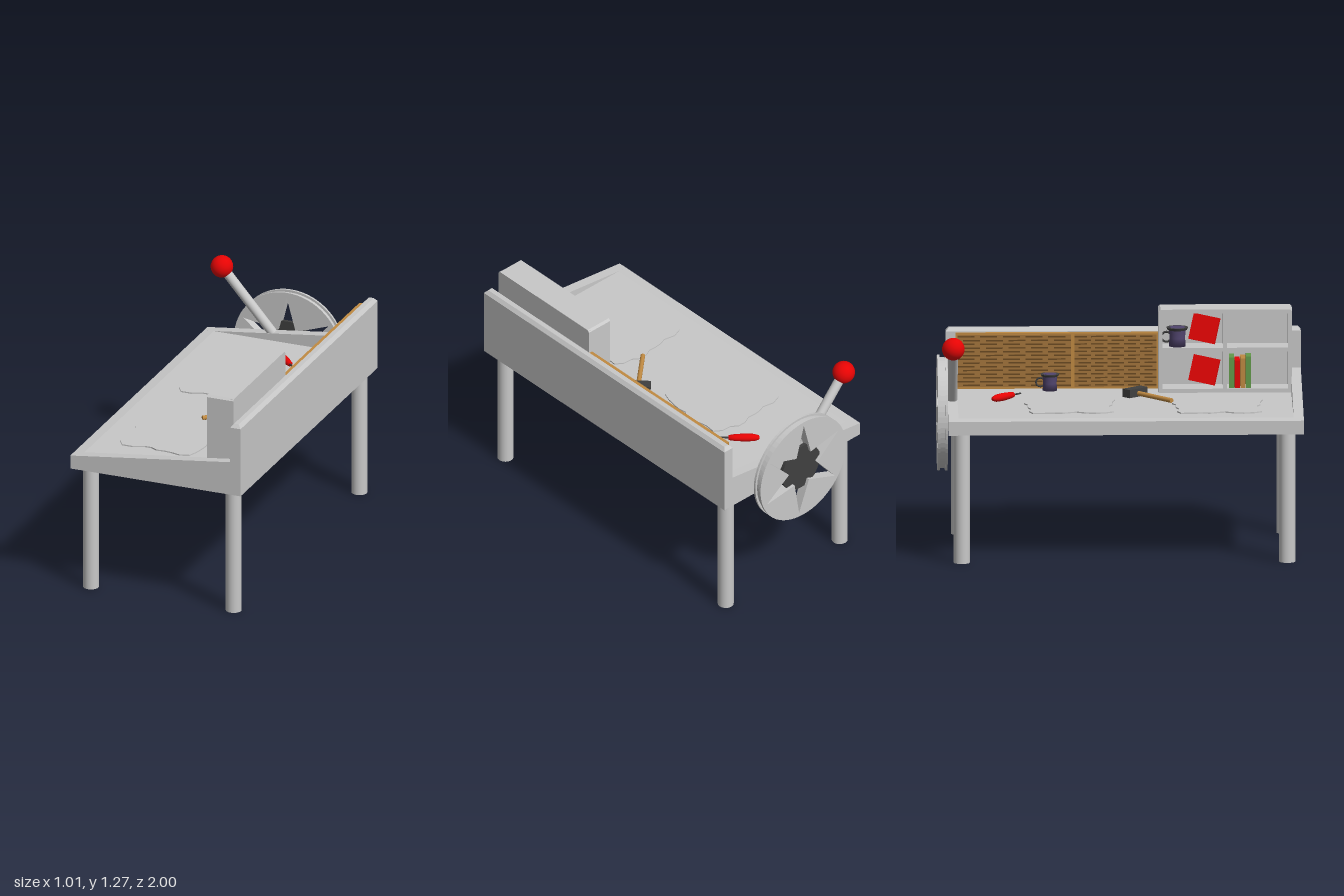
import * as THREE from 'three';

export function createModel() {
  const model = new THREE.Group();
  model.name = 'workbench';
  const mat = (name, color) => {
    const m = new THREE.MeshStandardMaterial({ color });
    m.name = name;
    return m;
  };
  const grey = mat('grey', 0xc8c8c8), red = mat('red', 0xe60404), dark = mat('charcoal', 0x404040);
  const lightWood = mat('lightWood', 0xc08a42), wood = mat('wood', 0xa3743c), darkWood = mat('darkWood', 0x6b4a22);
  const purple = mat('purple', 0x51456e), green = mat('green', 0x629a4a);

  const add = (name, geo, material, x = 0, y = 0, z = 0, parent = model) => {
    const m = new THREE.Mesh(geo, material);
    m.name = name;
    m.position.set(x, y, z);
    parent.add(m);
    return m;
  };
  // box given by its minimum and maximum corners
  const box = (name, material, x0, y0, z0, x1, y1, z1) =>
    add(name, new THREE.BoxGeometry(x1 - x0, y1 - y0, z1 - z0), material, (x0 + x1) / 2, (y0 + y1) / 2, (z0 + z1) / 2);
  const shapeOf = (pts) => new THREE.Shape(pts.map(([x, y]) => new THREE.Vector2(x, y)));
  const slab = (name, shape, material, z0, z1, x = 0, y = 0) =>
    add(name, new THREE.ExtrudeGeometry(shape, { depth: z1 - z0, bevelEnabled: false, curveSegments: 32 }), material, x, y, z0);
  // tapered rod between two points
  const rod = (name, material, a, b, rA, rB = rA, sides = 20) => {
    const p = new THREE.Vector3(...a), q = new THREE.Vector3(...b), d = q.clone().sub(p);
    const m = add(name, new THREE.CylinderGeometry(rB, rA, d.length(), sides), material);
    m.position.copy(p).add(q).multiplyScalar(0.5);
    m.quaternion.setFromUnitVectors(new THREE.Vector3(0, 1, 0), d.normalize());
    return m;
  };

  // table top with sloping end walls
  const desk = 0.807, edge = 0.505, boardX = 0.443, base = 0.723;
  slab('tableTop', shapeOf([[-edge, base], [boardX, base], [boardX, desk], [-0.445, desk], [-edge, 0.8]]), grey, -0.89, 0.945);
  const endWall = shapeOf([[-edge, base], [boardX, base], [boardX, 0.916], [-edge, 0.8]]);
  slab('frontEndWall', endWall, grey, 0.945, 1);
  slab('backEndWall', endWall, grey, -0.945, -0.89);

  // tall side board with a chamfered cap
  box('sideBoard', grey, boardX, base, -0.945, edge, 1.122, 1);
  const cap = new THREE.BoxGeometry(edge - boardX, 0.02, 1.945).toNonIndexed();
  const cp = cap.attributes.position;
  for (let i = 0; i < cp.count; i++) {
    if (cp.getY(i) > 0) cp.setXYZ(i, cp.getX(i) * 0.45, cp.getY(i), cp.getZ(i) - Math.sign(cp.getZ(i)) * 0.017);
  }
  cap.computeVertexNormals();
  add('sideBoardCap', cap, grey, (edge + boardX) / 2, 1.132, 0.0275);

  // legs
  for (const x of [-0.42, 0.427]) for (const z of [0.91, -0.872])
    rod('leg', grey, [x, 0, z], [x, 0.73, z], 0.044, 0.044, 28);

  // two wooden panels with dark staggered grain strips
  for (const [z0, z1] of [[-0.89, -0.249], [-0.249, 0.22]]) {
    box('panelFrame', lightWood, 0.42, desk, z0, boardX, 1.118, z1);
    box('panelFace', wood, 0.417, desk + 0.01, z0 + 0.01, 0.421, 1.108, z1 - 0.01);
    const rows = 14, h = 0.291 / rows, dash = (z1 - z0 - 0.02) / 5;
    for (let r = 0; r < rows; r++) for (let k = 0; k < 5; k++) {
      const y = desk + 0.01 + (r + 0.3) * h, z = z0 + 0.01 + k * dash;
      const inset = r % 2 ? 0 : dash * 0.25;
      box('grain', darkWood, 0.415, y, z + inset, 0.418, y + h * 0.38, z + inset + dash * 0.75);
    }
  }

  // open shelf with four compartments
  const s = { x0: 0.285, x1: boardX, z0: 0.217, z1: 0.95, top: 1.27, mid: 1.035 };
  const t = 0.022, c = 0.012;
  box('shelfBack', grey, 0.423, desk, s.z0 + 0.005, s.x1, s.top - 0.005, s.z1 - 0.005);
  for (const z of [s.z0, 0.572, s.z1 - t]) box('shelfUpright', grey, s.x0, desk, z, s.x1, s.top - t, z + t);
  for (const y of [desk, s.mid]) box('shelfBoard', grey, s.x0, y, s.z0 + 0.004, s.x1, y + t, s.z1 - 0.004);
  const shelfTop = slab('shelfTop', shapeOf([[s.z0, s.top - t], [s.z1, s.top - t], [s.z1, s.top - c], [s.z1 - c, s.top],
    [s.z0 + c, s.top], [s.z0, s.top - c]]), grey, 0, s.x1 - s.x0);
  shelfTop.rotation.y = -Math.PI / 2;
  shelfTop.position.x = s.x1;

  // leaning folders and a row of books
  for (const y of [1.155, 0.925]) {
    const folder = add('folder', new THREE.BoxGeometry(0.02, 0.145, 0.15), red, 0.335, y, 0.47);
    folder.rotation.set(0.15, -0.3, -0.25, 'YZX');
  }
  [green, red, lightWood, green].forEach((m, i) => {
    const z = 0.605 + i * 0.031;
    box('book', m, 0.3, desk + t, z, 0.415, desk + t + [0.17, 0.155, 0.165, 0.175][i], z + 0.028);
  });

  // mugs with a dark flared rim and a handle
  const mug = (x, y, z, scale) => {
    const g = new THREE.Group();
    g.name = 'mug';
    g.position.set(x, y, z);
    g.scale.setScalar(scale);
    model.add(g);
    const lathe = (pts) => new THREE.LatheGeometry(pts.map(([r, h]) => new THREE.Vector2(r, h)), 24);
    add('mugBody', lathe([[0, 0], [0.04, 0], [0.037, 0.04], [0.04, 0.08]]), purple, 0, 0, 0, g);
    add('mugRim', new THREE.CylinderGeometry(0.052, 0.046, 0.012, 24), dark, 0, 0.085, 0, g);
    add('mugInside', new THREE.CylinderGeometry(0.037, 0.037, 0.002, 24), purple, 0, 0.091, 0, g);
    const handle = add('mugHandle', new THREE.TorusGeometry(0.024, 0.005, 8, 16), dark, 0, 0.045, -0.052, g);
    handle.rotation.y = Math.PI / 2;
  };
  mug(0.375, desk, -0.375, 1);
  mug(0.345, s.mid + t, 0.322, 1.15);

  // hammer
  rod('hammerHandle', lightWood, [-0.02, 0.822, 0.285], [0.19, 0.826, 0.095], 0.013, 0.013, 12);
  const head = add('hammerHead', new THREE.BoxGeometry(0.138, 0.045, 0.058), dark, 0.197, 0.83, 0.088);
  head.rotation.y = -0.81;

  // screwdriver
  const driver = new THREE.LatheGeometry([[0, 0], [0.012, 0.004], [0.02, 0.03], [0.022, 0.08], [0.019, 0.135], [0.014, 0.17], [0, 0.172]]
    .map(([r, h]) => new THREE.Vector2(r, h)), 16);
  const grip = add('screwdriverGrip', driver, red, 0.012, 0.828, -0.695);
  grip.quaternion.setFromUnitVectors(new THREE.Vector3(0, 1, 0), new THREE.Vector3(0.74, 0, 0.67).normalize());
  rod('screwdriverBlade', dark, [0.13, 0.828, -0.587], [0.18, 0.828, -0.538], 0.006, 0.004, 8);

  // two ragged sheets lying on the table
  [[-0.08, -0.275], [-0.09, 0.535]].forEach(([x, z]) => {
    const pts = [];
    for (let i = 0; i < 36; i++) {
      const a = (i / 36) * Math.PI * 2, cos = Math.cos(a), sin = Math.sin(a);
      const r = 0.232 / Math.pow(cos ** 12 + sin ** 12, 1 / 12) + 0.014 * Math.sin(5 * a + 1) + 0.011 * Math.sin(11 * a);
      pts.push([cos * r, sin * r]);
    }
    const sheet = slab('sheet', shapeOf(pts), grey, 0, 0.007);
    sheet.rotation.x = -Math.PI / 2;
    sheet.position.set(x, desk, z);
  });

  // grooved wheel with a star-shaped opening and a dark hub
  const tips = [154, 91, 33, -22, -84, -144];
  const wheelShape = (r) => {
    const shape = new THREE.Shape().absarc(0, 0, r, 0, Math.PI * 2, false);
    const star = [];
    tips.forEach((deg, i) => {
      const next = i < 5 ? tips[i + 1] : tips[0] - 360;
      for (const [a, d] of [[deg, 0.291], [(deg + next) / 2, 0.105]]) {
        const rad = THREE.MathUtils.degToRad(a);
        star.push(new THREE.Vector2(Math.cos(rad) * d, Math.sin(rad) * d));
      }
    });
    shape.holes.push(new THREE.Path(star));
    return shape;
  };
  for (const [r, z0, z1] of [[0.317, -1, -0.987], [0.304, -0.987, -0.958], [0.317, -0.958, -0.945]])
    slab('wheel', wheelShape(r), grey, z0, z1, -0.031, 0.763);
  const hub = add('wheelHub', new THREE.CylinderGeometry(0.143, 0.143, 0.02, 12, 1, false, Math.PI / 12), dark, -0.031, 0.763, -0.9725);
  hub.rotation.x = Math.PI / 2;

  // lever with a ball knob
  rod('lever', grey, [-0.105, 0.84, -0.918], [-0.408, 1.187, -0.918], 0.027);
  add('leverKnob', new THREE.SphereGeometry(0.062, 32, 20), red, -0.408, 1.187, -0.918);

  return model;
}
